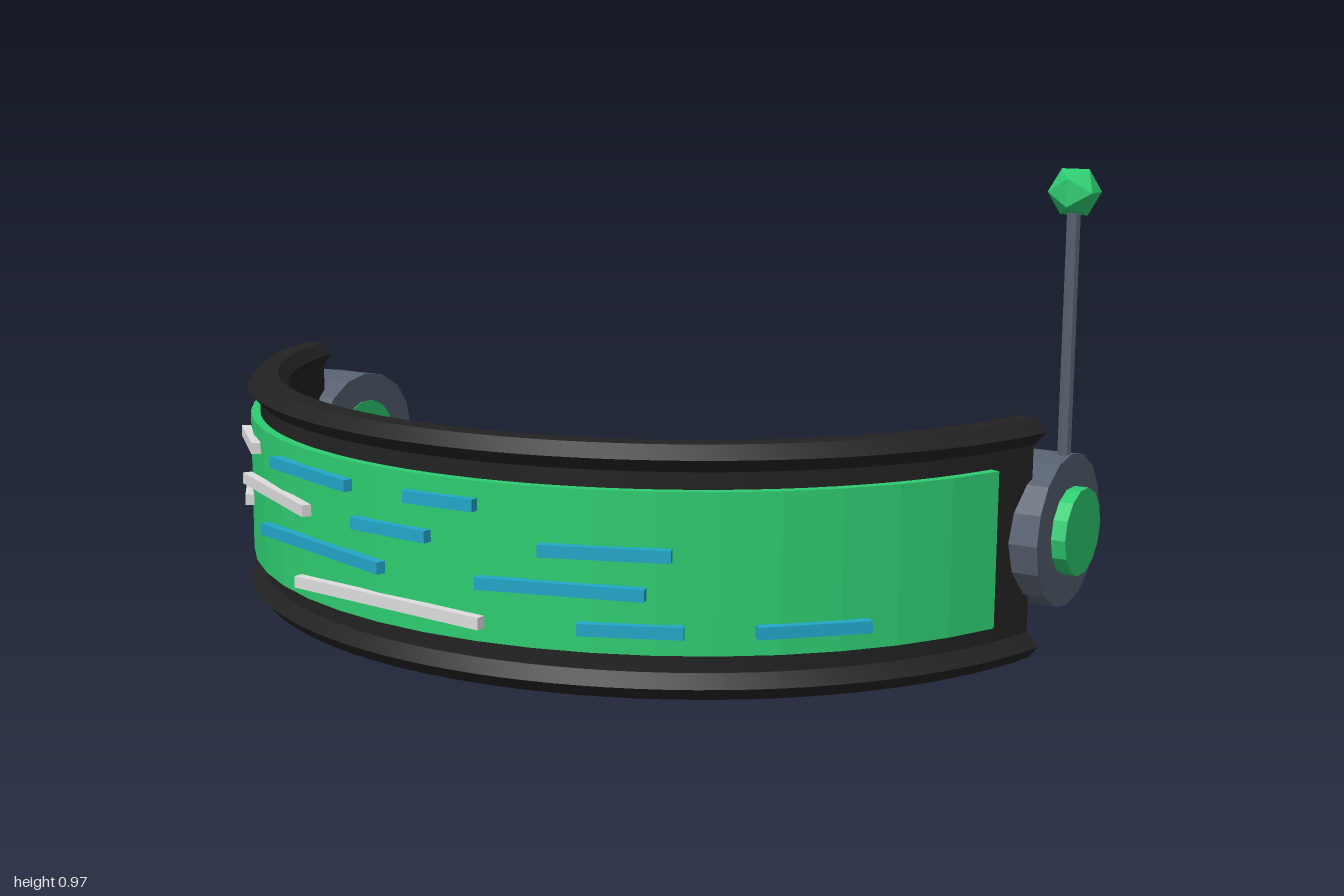
import * as THREE from 'three';
import { toCreasedNormals } from 'three/addons/utils/BufferGeometryUtils.js';

const ARC_Z = -0.465; // centre of the curved band

const paint = (name, color) => {
  const m = new THREE.MeshStandardMaterial({ color });
  m.name = name;
  return m;
};

// Sweeps a convex counter-clockwise (radius, y) profile round the arc, with closed ends
function sweep(profile, startDeg, segments, crease) {
  const a0 = THREE.MathUtils.degToRad(startDeg);
  const n = profile.length, pos = [], idx = [];
  for (let i = 0; i <= segments; i++) {
    const a = a0 + (Math.PI - 2 * a0) * i / segments;
    for (const [r, y] of profile) pos.push(r * Math.cos(a), y, ARC_Z + r * Math.sin(a));
  }
  for (let i = 0; i < segments; i++) {
    for (let j = 0; j < n; j++) {
      const A = i * n + j, B = i * n + (j + 1) % n;
      idx.push(A, B, B + n, A, B + n, A + n);
    }
  }
  const end = segments * n;
  for (let k = 1; k < n - 1; k++) idx.push(0, k + 1, k, end, end + k, end + k + 1);
  const g = new THREE.BufferGeometry();
  g.setAttribute('position', new THREE.Float32BufferAttribute(pos, 3));
  g.setIndex(idx);
  g.computeVertexNormals();
  return toCreasedNormals(g, crease);
}

const rect = (r0, r1, y0, y1) => [[r0, y0], [r1, y0], [r1, y1], [r0, y1]];

export function createModel() {
  const group = new THREE.Group();
  const black = paint('black rubber', 0x222222);
  const green = paint('green', 0x2ecc71);
  const grey = paint('slate grey', 0x57606f);
  const blue = paint('blue', 0x22a6c8);
  const white = paint('pale grey', 0xdddddd);

  const add = (name, geometry, material, x = 0, y = 0, z = 0) => {
    const mesh = new THREE.Mesh(geometry, material);
    mesh.name = name;
    mesh.position.set(x, y, z);
    group.add(mesh);
    return mesh;
  };

  // Curved band with a six-sided rim along each edge
  add('band', sweep(rect(0.91, 0.95, 0.03, 0.46), 12.7, 48, 0.5), black);
  for (const [name, y] of [['lowerRim', 0.027], ['upperRim', 0.462]]) {
    const hex = [];
    for (let i = 0; i < 6; i++) {
      const a = i * Math.PI / 3;
      hex.push([0.932 + 0.045 * Math.cos(a), y + 0.03 * Math.sin(a)]);
    }
    add(name, sweep(hex, 12.7, 48, 0.5), black);
  }

  // Faceted visor screen
  add('screen', sweep(rect(0.94, 0.971, 0.09, 0.402), 20.5, 20, 0.01), green);

  // Light dashes on the screen: [y, x from, x to, material]
  const dashes = [
    [0.357, -0.745, -0.575, white], [0.357, -0.46, -0.18, blue], [0.357, -0.035, 0.125, blue],
    [0.284, -0.635, -0.31, white], [0.284, -0.175, 0.02, blue], [0.284, 0.25, 0.49, blue],
    [0.211, -0.80, -0.69, white], [0.211, -0.495, -0.08, blue], [0.211, 0.13, 0.45, blue],
    [0.138, -0.335, 0.155, white], [0.138, 0.32, 0.51, blue], [0.138, 0.61, 0.78, blue],
  ];
  for (const [y, x0, x1, material] of dashes) {
    const r = 0.976, t = 0.02, x = (x0 + x1) / 2;
    const angle = Math.asin(x / r);
    const length = (x1 - x0 - t * Math.abs(Math.sin(angle))) / Math.cos(angle);
    add('dash', new THREE.BoxGeometry(length, 0.024, t), material, x, y, ARC_Z + r * Math.cos(angle))
      .rotation.y = angle;
  }

  // Oval ear hubs, each with a green core passing through
  const drum = (name, x0, x1, radius, sides, material) => {
    const g = new THREE.CylinderGeometry(radius, radius, x1 - x0, sides);
    g.rotateZ(Math.PI / 2).scale(1, 1, 1.13);
    add(name, toCreasedNormals(g, 0.1), material, (x0 + x1) / 2, 0.246, -0.364);
  };
  drum('leftHub', 0.83, 0.967, 0.156, 16, grey);
  drum('rightHub', -0.973, -0.838, 0.156, 16, grey);
  drum('leftCore', 0.84, 0.996, 0.089, 14, green);
  drum('rightCore', -1.0, -0.836, 0.089, 14, green);

  // Antenna on the left hub
  const rod = new THREE.CylinderGeometry(0.014, 0.014, 0.64, 8);
  rod.scale(1, 1, 1.13);
  add('antennaRod', toCreasedNormals(rod, 0.1), grey, 0.95, 0.57, -0.364);
  add('antennaTip', new THREE.IcosahedronGeometry(0.053, 0), green, 0.95, 0.924, -0.364);

  return group;
}
